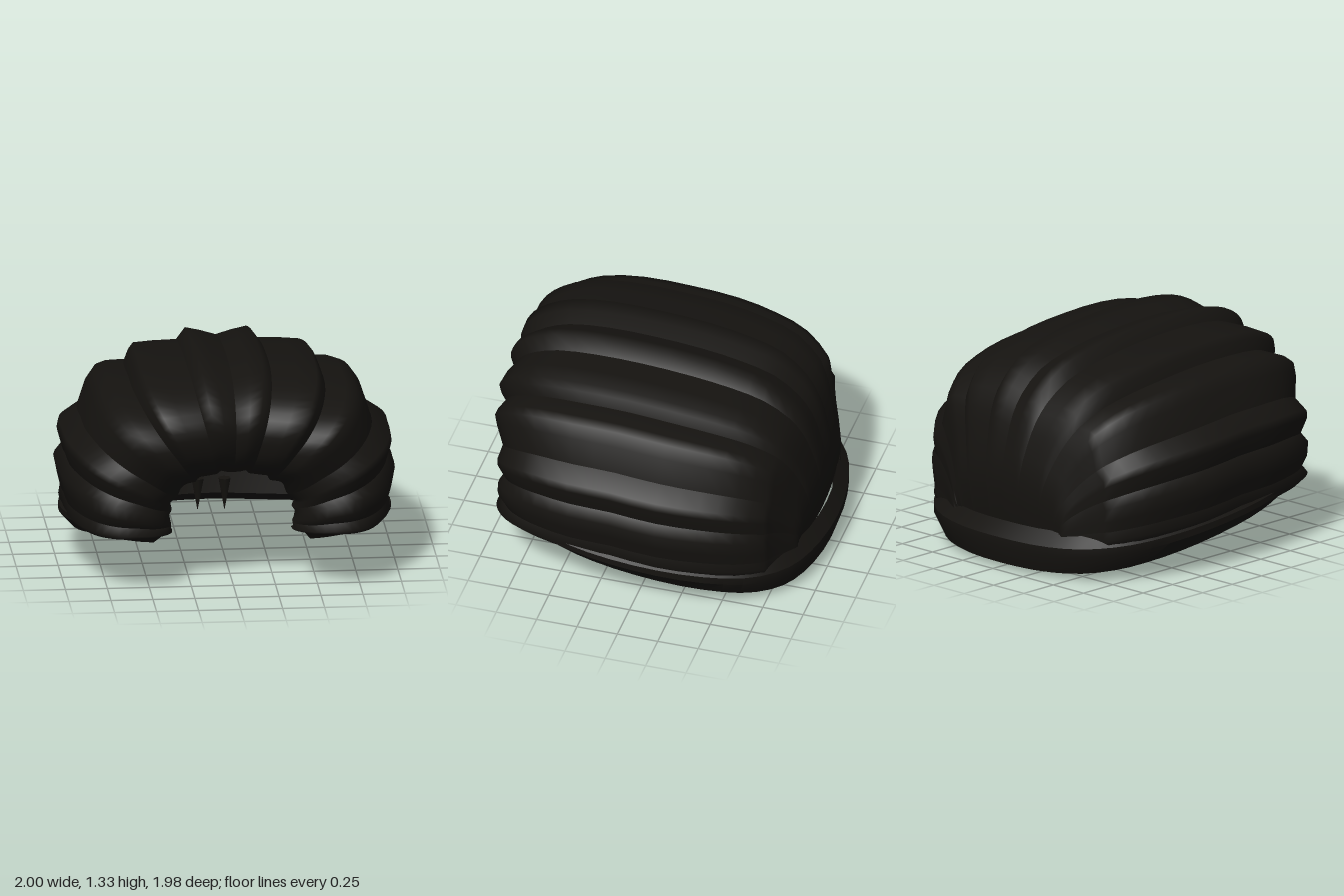
import * as THREE from 'three';
import { toCreasedNormals } from 'three/addons/utils/BufferGeometryUtils.js';

const cloth = new THREE.MeshStandardMaterial({ color: 0x151310, side: THREE.DoubleSide });
const { clamp, smoothstep } = THREE.MathUtils;

// Surface through rows x cols points given by at(row, col)
function grid(rows, cols, at, flip) {
  const pos = [], idx = [];
  for (let j = 0; j < rows; j++) {
    for (let i = 0; i < cols; i++) {
      pos.push(...at(j, i));
      if (j === rows - 1 || i === cols - 1) continue;
      const a = j * cols + i, b = a + 1, c = a + cols, d = c + 1;
      if (flip) idx.push(a, b, c, b, d, c);
      else idx.push(a, c, b, b, c, d);
    }
  }
  const geo = new THREE.BufferGeometry();
  geo.setAttribute('position', new THREE.Float32BufferAttribute(pos, 3));
  geo.setIndex(idx);
  geo.computeVertexNormals();
  return geo;
}

// Cross-section of each overlapping fold (x, y), crown to side
const folds = [
  [[0, 1.28], [0.1, 1.31], [0.19, 1.33], [0.245, 1.255]],
  [[0.245, 1.255], [0.4, 1.25], [0.52, 1.24], [0.55, 1.2], [0.575, 1.135]],
  [[0.575, 1.135], [0.7, 1.13], [0.76, 1.11], [0.81, 1.04], [0.86, 0.89]],
  [[0.86, 0.89], [0.97, 0.82], [0.98, 0.77], [0.95, 0.66]],
  [[0.95, 0.66], [1, 0.6], [0.98, 0.5], [0.96, 0.42]],
  [[0.96, 0.42], [0.97, 0.36], [0.94, 0.32]],
];

// Stations from the gather at the back, over the head, to the tucked brow: z, centre y, scale
const stations = new THREE.CatmullRomCurve3([
  [-0.89, 0.2, 0.03], [-0.92, 0.22, 0.22], [-0.92, 0.23, 0.4], [-0.88, 0.24, 0.58],
  [-0.83, 0.25, 0.72], [-0.75, 0.26, 0.83], [-0.6, 0.28, 0.93], [-0.4, 0.3, 0.975],
  [-0.15, 0.32, 1], [0.15, 0.345, 1], [0.45, 0.35, 1], [0.7, 0.36, 0.96],
  [0.85, 0.36, 0.9], [0.94, 0.36, 0.83], [0.99, 0.36, 0.73], [0.98, 0.36, 0.62],
  [0.93, 0.35, 0.51], [0.84, 0.34, 0.43], [0.75, 0.33, 0.39], [0.67, 0.33, 0.38],
].map(p => new THREE.Vector3(...p))).getPoints(38);

function foldGeometry(profile, side) {
  return grid(stations.length, profile.length, (j, i) => {
    const { x: z, y: cy, z: k } = stations[j];
    const [px, py] = profile[i];
    const y = cy + (py - 0.35) * k;
    if (z < 0) {
      // at the back the folds fan down to the band and wrap round with it
      const x = px * (0.5 + 0.5 * k * k) * (1 - 0.2 * z * z * px * px);
      const wrap = 0.25 * x * x * clamp((-z - 0.75) / 0.17, 0, 1);
      return [side * x, y, z + wrap];
    }
    // folds bulge forward along their middles, and the sides stop short of the brow
    const bulge = 0.96 + 0.05 * Math.sin(Math.PI * i / (profile.length - 1));
    const reach = bulge - 0.13 * px ** 4 * k;
    return [side * px * k * (1 - 0.02 * z * px * px), y, z * reach];
  }, side < 0);
}

// Band: a slanted strip around the back and sides, its ends curling in at the front
function bandGeometry() {
  const half = [[0.35, 0.03, -0.95], [0.6, 0.045, -0.86], [0.79, 0.075, -0.68],
    [0.91, 0.12, -0.4], [0.975, 0.18, -0.05], [0.975, 0.24, 0.3], [0.92, 0.285, 0.56],
    [0.83, 0.3, 0.75], [0.7, 0.3, 0.84], [0.56, 0.28, 0.82], [0.42, 0.25, 0.75]];
  const outline = [
    ...half.map(([x, y, z]) => [-x, y, z]).reverse(), [0, 0.03, -0.99], ...half,
  ].map(p => new THREE.Vector3(...p));
  const curve = new THREE.CatmullRomCurve3(outline);
  const n = 56;
  const geo = grid(n + 3, 6, (row, i) => {
    const t = clamp((row - 1) / n, 0, 1);
    const p = curve.getPoint(t);
    const d = curve.getTangent(t).setY(0).normalize();
    // the lower edge leans inward, most of all at the front
    const front = smoothstep(p.z, 0.45, 0.8);
    const lean = 0.04 + 0.04 * p.x * p.x + 0.06 * front;
    const section = [ // inset, height
      [lean, 0], [0, 0.7], [0, 1], [0.07, 1.5], [lean + 0.05, 0.3], [lean, 0],
    ];
    // first and last rows collapse to close the ends
    const cap = row === 0 || row === n + 2;
    const [inset, h] = cap ? [0.06, 0.7] : section[i];
    return [p.x - d.z * inset, p.y + (0.13 - 0.04 * p.z) * h, p.z + d.x * inset];
  });
  return toCreasedNormals(geo, 0.6);
}

export function createModel() {
  const model = new THREE.Group();
  model.name = 'headWrap';
  const add = (name, geo) => {
    const mesh = new THREE.Mesh(geo, cloth);
    mesh.name = name;
    model.add(mesh);
    return mesh;
  };

  for (const side of [1, -1]) {
    const label = side > 0 ? 'left' : 'right';
    folds.forEach((profile, i) => add(`${label}Fold${i + 1}`, foldGeometry(profile, side)));

    // Tucked fold end showing under the back of the band
    const tip = add(`${label}FoldTip`, new THREE.ConeGeometry(0.04, 0.2, 6));
    tip.rotation.x = Math.PI;
    tip.position.set(side * 0.08, 0.1, -0.81);
  }
  add('band', bandGeometry());
  return model;
}
